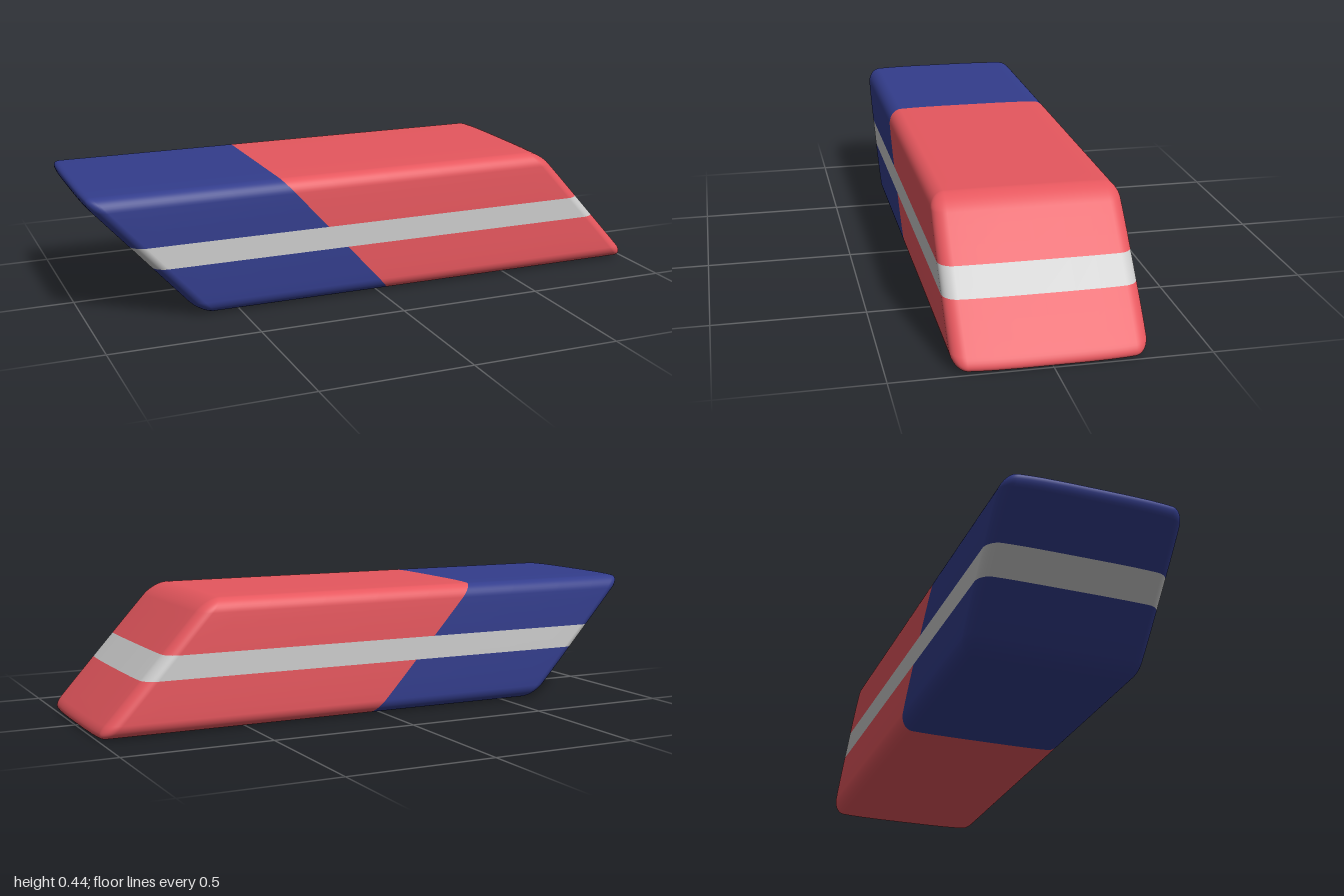
import * as THREE from 'three';
import { mergeVertices } from 'three/addons/utils/BufferGeometryUtils.js';

const HALF = [0.829, 0.2175, 0.307]; // half length, height, depth before slanting
const R = 0.045; // edge rounding
const SLANT = 0.9;
const SPLIT_X = -0.155; // where the two colours meet
const BAND = [-0.0375, 0.0425]; // stripe limits, measured from mid height

// Grid stops along one axis: dense over the rounded edges, extra stops between
function stops(half, inner) {
  const edge = [0, 10, 20, 30, 38, 45].map(a => half - R + R * Math.tan(THREE.MathUtils.degToRad(a)));
  return [...edge.map(v => -v), ...inner, ...edge].sort((a, b) => a - b);
}

// Rounded, slightly pillowed box, leaned over along x
function slantedBlock() {
  const grid = [
    stops(HALF[0], [-0.7, -0.55, -0.35, SPLIT_X, 0, 0.2, 0.4, 0.6, 0.7]),
    stops(HALF[1], [-0.14, -0.09, ...BAND, 0.09, 0.14]),
    stops(HALF[2], [-0.23, -0.18, -0.1, 0, 0.1, 0.18, 0.23]),
  ];
  const n = grid.map(g => g.length - 1);
  let geo = new THREE.BoxGeometry(2, 2, 2, ...n);
  geo.deleteAttribute('uv');
  geo.deleteAttribute('normal');
  geo = mergeVertices(geo, 1e-4);
  const pos = geo.attributes.position;
  const inner = new THREE.Vector3(...HALF).subScalar(R);
  const p = new THREE.Vector3(), core = new THREE.Vector3();
  const flat = []; // grid position of each vertex, used for colouring
  for (let i = 0; i < pos.count; i++) {
    p.fromBufferAttribute(pos, i);
    p.fromArray(p.toArray().map((v, a) => grid[a][Math.round((v + 1) / 2 * n[a])]));
    flat.push(p.clone());
    core.copy(p).clamp(inner.clone().negate(), inner);
    p.sub(core).setLength(R).add(core);
    const fy = (p.y / HALF[1]) ** 4, fz = (p.z / HALF[2]) ** 4;
    p.set(p.x * (1 - 0.01 * fz), p.y * (1 - 0.02 * fz), p.z * (1 - 0.015 * fy));
    pos.setXYZ(i, p.x - SLANT * p.y, p.y + HALF[1], p.z);
  }
  geo.computeVertexNormals();
  return { geo, flat };
}

export function createModel() {
  const group = new THREE.Group();
  group.name = 'eraser';
  const { geo, flat } = slantedBlock();
  const faces = { blueEnd: [], redEnd: [], stripe: [] };
  const colors = { blueEnd: 0x333d8c, redEnd: 0xe6575e, stripe: 0xcccccc };

  // Sort the faces into the two ends and the stripe that runs round both
  const index = geo.index.array;
  for (let i = 0; i < index.length; i += 3) {
    const tri = [index[i], index[i + 1], index[i + 2]];
    const x = tri.reduce((s, v) => s + flat[v].x, 0) / 3;
    const y = tri.reduce((s, v) => s + flat[v].y, 0) / 3;
    const part = y > BAND[0] && y < BAND[1] && Math.max(...tri.map(v => Math.abs(flat[v].y))) < 0.05
      ? 'stripe' : x < SPLIT_X ? 'blueEnd' : 'redEnd';
    faces[part].push(...tri);
  }

  for (const name of Object.keys(faces)) {
    const part = geo.clone();
    part.setIndex(faces[name]);
    const mesh = new THREE.Mesh(part.toNonIndexed(), new THREE.MeshStandardMaterial({ color: colors[name] }));
    mesh.name = name;
    group.add(mesh);
  }
  return group;
}
